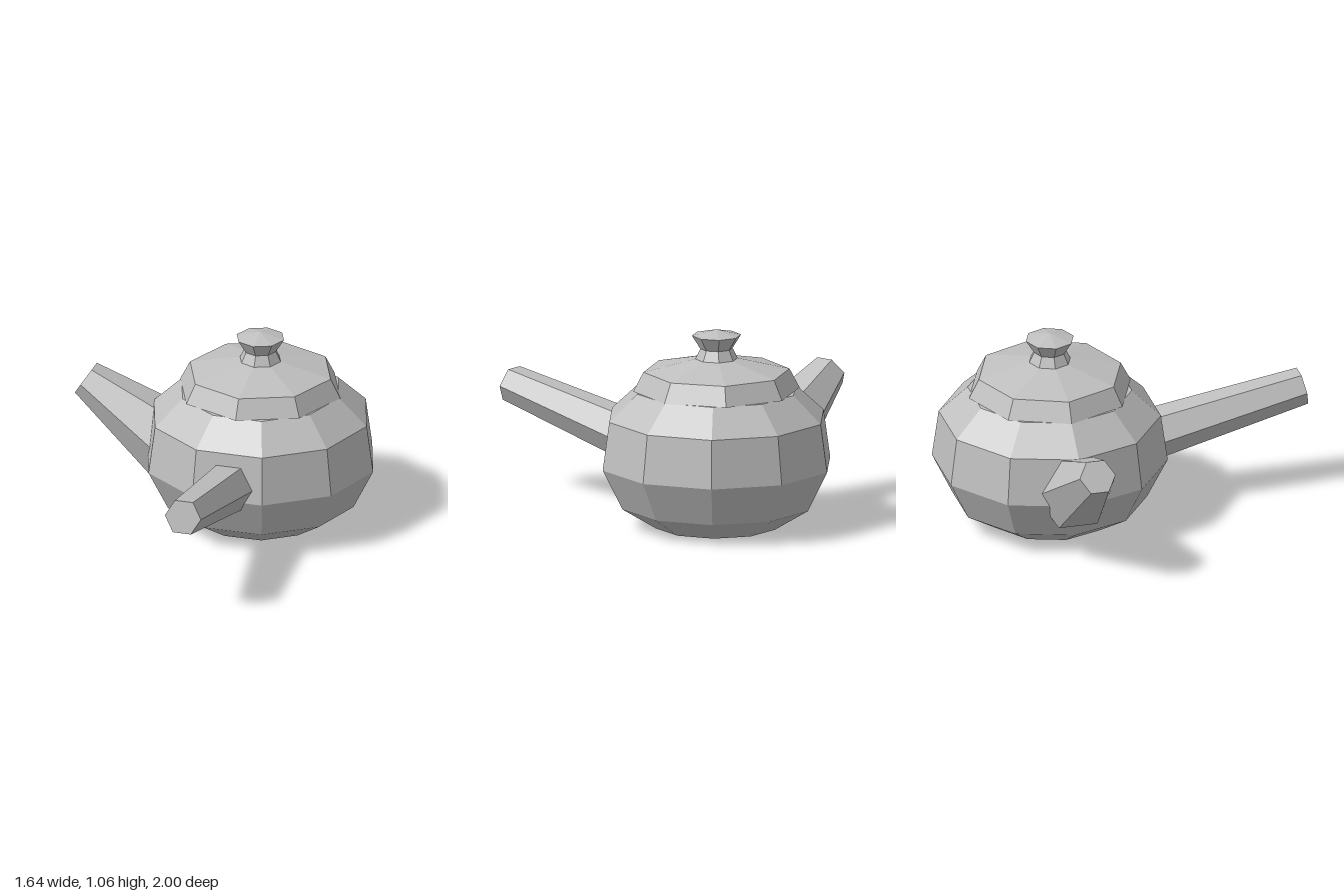
import * as THREE from 'three';

const CX = 0.193, CZ = -0.405; // axis of the pot

// Separate the faces so each one is shaded flat
function faceted(geometry) {
  const g = geometry.toNonIndexed();
  g.computeVertexNormals();
  return g;
}

// Closed faceted solid of revolution, with corners on the x axis
function turned(name, profile, sides, material) {
  const points = profile.map(([r, y]) => new THREE.Vector2(r, y));
  const mesh = new THREE.Mesh(faceted(new THREE.LatheGeometry(points, sides, Math.PI / 2)), material);
  mesh.name = name;
  mesh.position.set(CX, 0, CZ);
  return mesh;
}

// Tapered hexagonal bar between two points
function hexBar(name, from, to, rFrom, rTo, turn, material) {
  const a = new THREE.Vector3(...from), b = new THREE.Vector3(...to);
  const dir = b.clone().sub(a);
  const geometry = new THREE.CylinderGeometry(rTo, rFrom, dir.length(), 6, 1, false, turn);
  const mesh = new THREE.Mesh(faceted(geometry), material);
  mesh.name = name;
  mesh.position.copy(a).add(b).multiplyScalar(0.5);
  mesh.quaternion.setFromUnitVectors(new THREE.Vector3(0, 1, 0), dir.normalize());
  return mesh;
}

export function createModel() {
  const group = new THREE.Group();
  group.name = 'teapot';
  const clay = new THREE.MeshStandardMaterial({ color: 0xbfbfbf });
  clay.name = 'grey clay';

  // Ten-sided belly
  group.add(turned('body', [
    [0, 0], [0.331, 0], [0.517, 0.115], [0.626, 0.333], [0.59, 0.592], [0.436, 0.737], [0, 0.737],
  ], 10, clay));

  // Eight-sided lid and its knob
  group.add(turned('lid', [
    [0, 0.736], [0.444, 0.736], [0.39, 0.84], [0.113, 0.905],
  ], 8, clay));
  group.add(turned('knob', [
    [0.113, 0.905], [0.086, 0.96], [0.131, 1.032], [0, 1.063],
  ], 8, clay));

  // Spout to the front, straight handle to the side
  group.add(hexBar('spout', [CX, 0.388, 0.1], [CX, 0.577, 0.983], 0.14, 0.1, Math.PI / 2, clay));
  group.add(hexBar('handle', [-0.283, 0.351, CZ], [-0.775, 0.67, CZ], 0.211, 0.098, 0, clay));

  return group;
}
